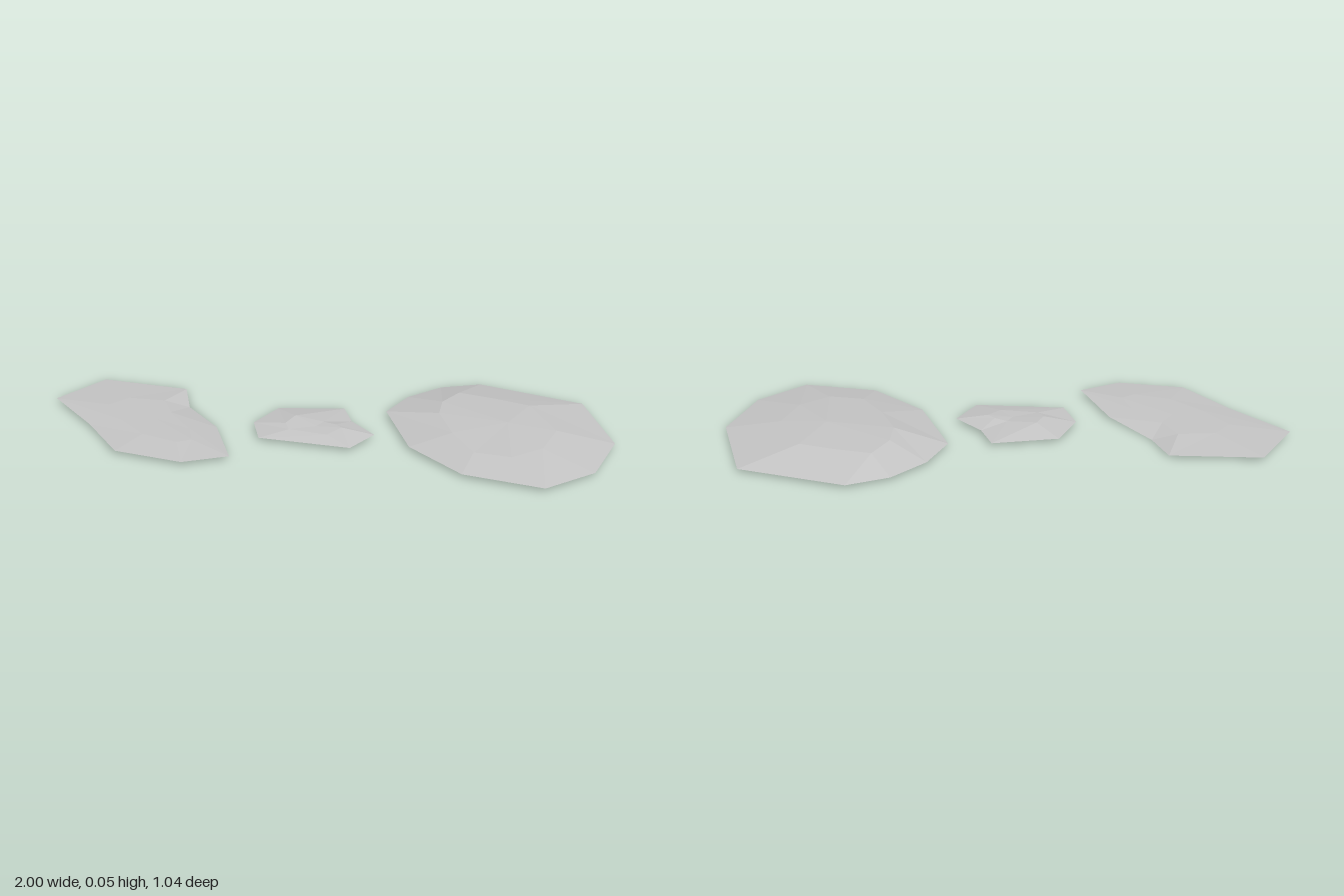
import * as THREE from 'three';

const stone = new THREE.MeshStandardMaterial({ color: 0xc4c4c4 });
stone.name = 'light grey stone';
const BASE = 0.015;

// Outline and crown points are [x, z, y], clockwise from above, paired one to one.
const slabs = [
  {
    name: 'largeSlab',
    outline: [[0.42, -0.52], [0.82, -0.525], [1, -0.27], [0.985, -0.04], [0.86, 0.13],
      [0.58, 0.16], [0.35, 0.06], [0.175, -0.155], [0.205, -0.3], [0.29, -0.43]],
    crown: [[0.53, -0.36, 0.05], [0.66, -0.36, 0.05], [0.8, -0.22, 0.046], [0.79, -0.08, 0.043],
      [0.71, 0.02, 0.04], [0.58, 0.04, 0.038], [0.47, -0.05, 0.045], [0.38, -0.16, 0.052],
      [0.36, -0.25, 0.052], [0.39, -0.35, 0.05]],
    peak: [0.63, -0.19, 0.055],
  },
  {
    name: 'smallSlab',
    outline: [[0.025, -0.11], [0.09, -0.03], [0.205, 0.03], [0.165, 0.155],
      [-0.16, 0.225], [-0.23, 0.13], [-0.2, -0.01]],
    crown: [[0.01, 0.04, 0.029], [0.06, 0.045, 0.032], [0.09, 0.06, 0.033], [0.06, 0.12, 0.027],
      [-0.08, 0.14, 0.027], [-0.11, 0.11, 0.031], [-0.1, 0.05, 0.035]],
    peak: [0, 0.08, 0.028],
  },
  {
    name: 'longSlab',
    outline: [[-0.925, 0.06], [-0.6, -0.01, 0.01], [-0.52, 0.1, 0], [-0.34, 0.21, 0.01],
      [-0.19, 0.385], [-0.32, 0.49], [-0.57, 0.52], [-0.765, 0.395], [-1, 0.275]],
    crown: [[-0.74, 0.17, 0.025], [-0.61, 0.13, 0.023], [-0.54, 0.2, 0.022], [-0.41, 0.28, 0.022],
      [-0.36, 0.35, 0.024], [-0.4, 0.39, 0.025], [-0.54, 0.39, 0.025], [-0.67, 0.33, 0.025],
      [-0.78, 0.25, 0.025]],
    peak: [-0.57, 0.27, 0.026],
  },
];

// Faceted slab: sloping rim, low crown and a closed underside.
function makeSlab({ name, outline, crown, peak }) {
  const positions = [];
  const face = (...corners) => {
    for (const [x, z, y = BASE] of corners) positions.push(x, y, z);
  };
  const under = [peak[0], peak[1], BASE];
  outline.forEach((a, i) => {
    const j = (i + 1) % outline.length;
    const b = outline[j];
    face(a, crown[i], b);
    face(crown[i], crown[j], b);
    face(peak, crown[j], crown[i]);
    face(under, a, b);
  });
  const geometry = new THREE.BufferGeometry();
  geometry.setAttribute('position', new THREE.Float32BufferAttribute(positions, 3));
  geometry.computeVertexNormals();
  const mesh = new THREE.Mesh(geometry, stone);
  mesh.name = name;
  return mesh;
}

export function createModel() {
  const group = new THREE.Group();
  group.name = 'steppingStones';
  slabs.forEach((slab) => group.add(makeSlab(slab)));
  return group;
}
